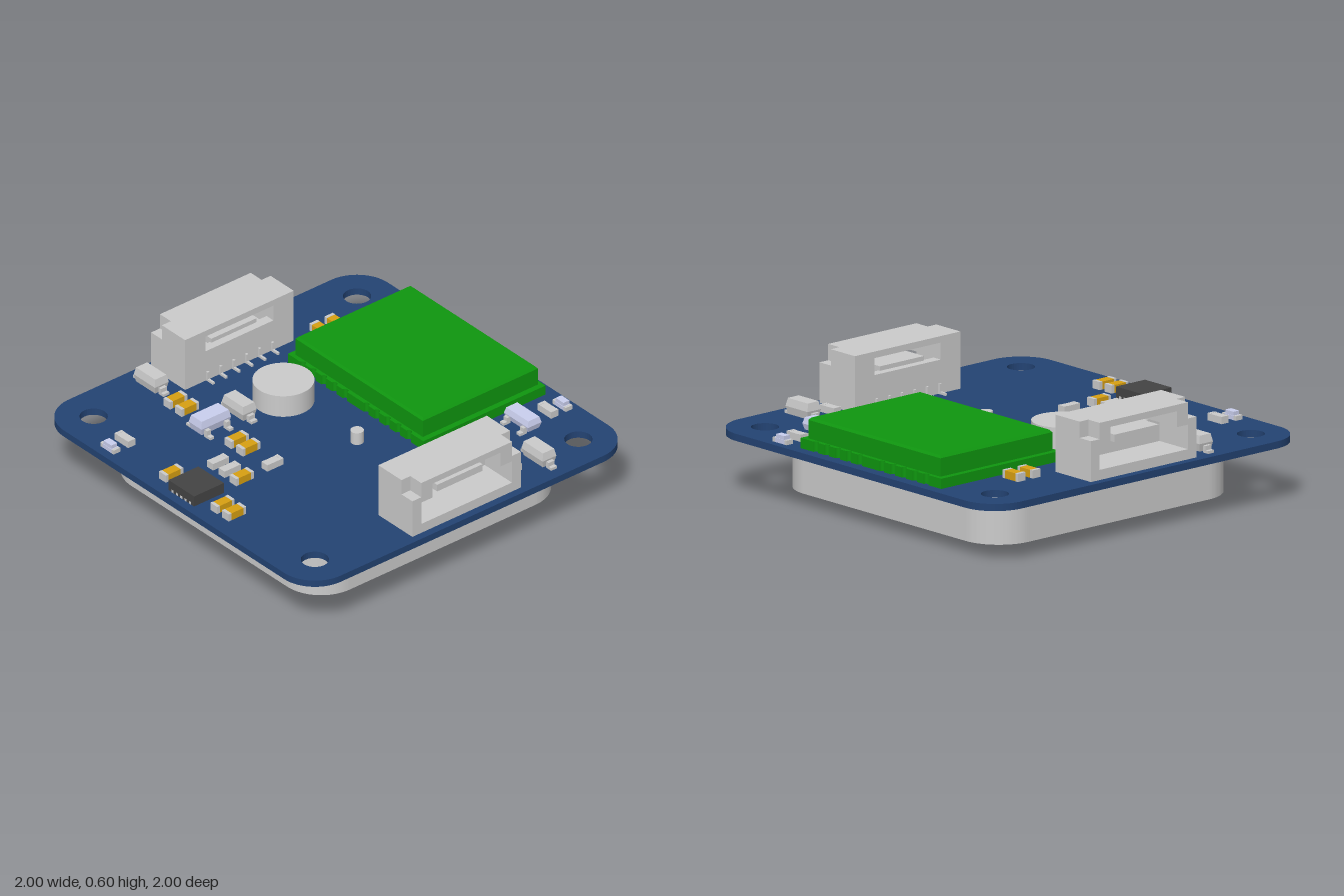
import * as THREE from 'three';

const mat = (color) => new THREE.MeshStandardMaterial({ color });
const grey = mat(0xcccccc), blue = mat(0x234373), green = mat(0x0f960f);
const gold = mat(0xd8a012), dark = mat(0x444444), lilac = mat(0xcacfee);
const TOP = 0.32; // upper face of the board

function add(parent, name, geometry, material, x = 0, y = 0, z = 0) {
  const m = new THREE.Mesh(geometry, material);
  m.name = name;
  m.position.set(x, y, z);
  parent.add(m);
  return m;
}

// Box given by its centre in plan and its bottom and top heights
function block(parent, name, material, x, z, w, d, y0, y1) {
  return add(parent, name, new THREE.BoxGeometry(w, y1 - y0, d), material, x, (y0 + y1) / 2, z);
}

// Moulded body: widest at mid height, drawn in towards top and bottom
function moulded(parent, name, material, w, d, y0, y1, inset) {
  const g = new THREE.BoxGeometry(w, y1 - y0, d, 1, 2, 1).toNonIndexed();
  const p = g.attributes.position;
  for (let i = 0; i < p.count; i++) {
    if (Math.abs(p.getY(i)) < 1e-4) continue;
    p.setX(i, p.getX(i) - Math.sign(p.getX(i)) * inset);
    p.setZ(i, p.getZ(i) - Math.sign(p.getZ(i)) * inset);
  }
  g.computeVertexNormals();
  return add(parent, name, g, material, 0, (y0 + y1) / 2, 0);
}

function roundedSquare(h, r) {
  const s = new THREE.Shape(), c = h - r;
  s.absarc(c, c, r, 0, Math.PI / 2);
  s.absarc(-c, c, r, Math.PI / 2, Math.PI);
  s.absarc(-c, -c, r, Math.PI, Math.PI * 1.5);
  s.absarc(c, -c, r, Math.PI * 1.5, Math.PI * 2);
  s.closePath();
  return s;
}

// Extrude a plan outline (x, -z) upwards
function slab(shape, depth) {
  const g = new THREE.ExtrudeGeometry(shape, { depth, bevelEnabled: false, curveSegments: 16 });
  return g.rotateX(-Math.PI / 2);
}

const polygon = (pts) => new THREE.Shape(pts.map(([x, y]) => new THREE.Vector2(x, y)));

function subgroup(parent, name, x, z, turn = 0) {
  const g = new THREE.Group();
  g.name = name;
  g.position.set(x, 0, z);
  g.rotation.y = turn;
  parent.add(g);
  return g;
}

// Side-entry socket with its mouth facing +x
function connector(parent, name, turn) {
  const g = subgroup(parent, name, 0, 0, turn);
  const full = [[-0.335, 0.32], [0.335, 0.32], [0.335, 0.6], [-0.335, 0.6]];
  const stepped = [[-0.335, 0.32], [0.335, 0.32], [0.335, 0.52], [0.28, 0.52],
    [0.28, 0.6], [-0.28, 0.6], [-0.28, 0.52], [-0.335, 0.52]];
  const window = [[-0.21, 0.485], [0.21, 0.485], [0.21, 0.568], [-0.21, 0.568]];
  const mouth = [[-0.28, 0.37], [0.28, 0.37], [0.28, 0.49], [0.21, 0.49],
    [0.21, 0.568], [-0.21, 0.568], [-0.21, 0.49], [-0.28, 0.49]];
  const layer = (part, outline, hole, x0, x1) => {
    const s = polygon(outline);
    s.holes.push(polygon(hole));
    const geo = new THREE.ExtrudeGeometry(s, { depth: x1 - x0, bevelEnabled: false });
    add(g, part, geo.rotateY(Math.PI / 2), grey, x0);
  };
  layer('rearWall', full, window, 0.71, 0.76);
  layer('housing', full, mouth, 0.76, 0.88);
  layer('mouthFrame', stepped, mouth, 0.88, 0.96);
  block(g, 'tongue', grey, 0.83, 0, 0.16, 0.28, 0.47, 0.507);
  for (let i = 0; i < 6; i++) {
    const z = -0.2 + i * 0.08;
    block(g, 'pinFoot', grey, 0.685, z, 0.05, 0.012, TOP, 0.332);
    block(g, 'pinRise', grey, 0.704, z, 0.012, 0.012, TOP, 0.37);
  }
}

// Two-terminal chip, long axis along x before turning
function chip(parent, name, x, z, turn, body, end, len, wid, h) {
  const g = subgroup(parent, name, x, z, turn);
  const cap = len * 0.16;
  block(g, 'body', body, 0, 0, len - 2 * cap, wid * 0.98, TOP, TOP + h * 0.97);
  for (const s of [-1, 1]) block(g, 'terminal', end, s * (len - cap) / 2, 0, cap, wid, TOP, TOP + h);
}

// Bent lead running outward along +x from a body edge at distance r
function lead(parent, r, z, turn, len, w, rise) {
  const g = subgroup(parent, 'lead', 0, 0, turn);
  block(g, 'foot', grey, r + len / 2, z, len, w, TOP, TOP + 0.014);
  block(g, 'shoulder', grey, r + len * 0.25, z, len * 0.5, w, TOP, TOP + rise);
}

export function createModel() {
  const model = new THREE.Group();
  model.name = 'receiverBoard';

  // Board with four mounting holes
  const outline = roundedSquare(1, 0.19);
  for (const x of [-0.813, 0.813]) for (const y of [-0.813, 0.813]) {
    const hole = new THREE.Path();
    hole.absarc(x, y, 0.067, 0, Math.PI * 2, true);
    outline.holes.push(hole);
  }
  add(model, 'board', slab(outline, 0.035), blue, 0, 0.285, 0);

  // Patch antenna below, with its feed pin through the board
  add(model, 'antenna', slab(roundedSquare(0.783, 0.21), 0.25), grey, 0, 0.035, 0);
  add(model, 'feedPin', new THREE.CylinderGeometry(0.032, 0.032, 0.345, 24), grey, 0.155, 0.2125, 0);
  const dome = new THREE.SphereGeometry(0.055, 24, 8, 0, Math.PI * 2, Math.PI / 2, Math.PI / 2);
  add(model, 'feedSolder', dome.scale(1, 0.036 / 0.055, 1), grey, 0.155, 0.036, 0);

  // Receiver module: base with half-round edge notches, then lid
  const module = subgroup(model, 'receiverModule', -0.0825, -0.5675);
  const base = new THREE.Shape(), hw = 0.4975, hd = 0.3775, r = 0.016;
  base.moveTo(-hw, -hd);
  for (const s of [1, -1]) {
    const row = [-5, -4, -3, -2, -1, 1, 2, 3, 4, 5].map((i) => i * 0.078 * s);
    for (const x of row) {
      base.lineTo(x - s * r, -s * hd);
      base.absarc(x, -s * hd, r, s > 0 ? Math.PI : 0, s > 0 ? 0 : Math.PI, true);
    }
    base.lineTo(s * hw, -s * hd);
    base.lineTo(s * hw, s * hd);
  }
  add(module, 'base', slab(base, 0.05), green, 0, TOP, 0);
  block(module, 'lidWall', green, 0, 0, 0.935, 0.71, 0.37, 0.46);
  const lid = new THREE.BoxGeometry(0.935, 0.012, 0.71).toNonIndexed();
  const p = lid.attributes.position;
  for (let i = 0; i < p.count; i++) if (p.getY(i) > 0) p.setXYZ(i, p.getX(i) * 0.978, p.getY(i), p.getZ(i) * 0.972);
  lid.computeVertexNormals();
  add(module, 'lidTop', lid, green, 0, 0.466, 0);

  // Side sockets
  connector(model, 'leftConnector', 0);
  connector(model, 'rightConnector', Math.PI);

  // Backup cell
  add(model, 'backupCell', new THREE.CylinderGeometry(0.147, 0.147, 0.115, 48), grey, -0.345, 0.3775, 0.035);

  // Capacitors
  const q = Math.PI / 2;
  for (const [x, z, turn] of [[-0.675, -0.567, 0], [-0.675, -0.473, 0], [-0.65, 0.445, q],
    [-0.565, 0.445, q], [-0.2, 0.445, q], [-0.115, 0.445, q], [0.063, 0.635, q],
    [-0.175, 0.87, q], [0.19, 0.86, q], [0.275, 0.86, q]])
    chip(model, 'capacitor', x, z, turn, gold, grey, 0.108, 0.05, 0.04);

  // Resistors
  for (const [x, z, turn] of [[0.063, 0.445, q], [-0.11, 0.635, q], [-0.025, 0.635, q],
    [0.545, -0.85, 0], [0.545, -0.54, 0], [0.545, -0.45, 0], [0.545, -0.355, 0],
    [0.545, -0.27, 0], [0.795, -0.415, 0], [-0.545, 0.845, 0]])
    chip(model, 'resistor', x, z, turn, grey, grey, 0.1, 0.044, 0.036);

  // Indicator lights
  for (const [x, z] of [[0.545, -0.94], [-0.545, 0.935]]) {
    chip(model, 'indicator', x, z, 0, lilac, grey, 0.098, 0.042, 0.022);
    block(model, 'indicatorLens', lilac, x, z, 0.058, 0.036, 0.34, 0.36);
  }

  // Diodes
  for (const [x, z] of [[0.83, -0.555], [-0.84, 0.435], [-0.39, 0.27]]) {
    const g = subgroup(model, 'diode', x, z);
    moulded(g, 'body', grey, 0.157, 0.085, 0.326, 0.404, 0.008);
    for (const t of [0, Math.PI]) lead(g, 0.075, 0, t, 0.037, 0.036, 0.035);
  }

  // Three-lead transistor
  const transistor = subgroup(model, 'transistor', 0.545, -0.695);
  moulded(transistor, 'body', lilac, 0.178, 0.084, 0.33, 0.39, 0.008);
  lead(transistor, 0.036, 0, q, 0.042, 0.026, 0.035);
  for (const z of [-0.06, 0.06]) lead(transistor, 0.036, z, -q, 0.042, 0.026, 0.035);

  // Five-lead regulator
  const regulator = subgroup(model, 'regulator', -0.385, 0.455);
  moulded(regulator, 'body', lilac, 0.095, 0.182, 0.33, 0.405, 0.008);
  for (const z of [-0.06, 0, 0.06]) lead(regulator, 0.042, z, Math.PI, 0.046, 0.024, 0.04);
  for (const z of [-0.06, 0.06]) lead(regulator, 0.042, z, 0, 0.046, 0.024, 0.04);

  // Leadless sensor with edge pads
  const sensor = subgroup(model, 'sensor', 0, 0.8625);
  block(sensor, 'body', dark, 0, 0, 0.188, 0.184, TOP, 0.376);
  for (const s of [-1, 1]) for (let i = 0; i < 5; i++)
    block(sensor, 'pad', grey, -0.064 + i * 0.032, s * 0.091, 0.014, 0.005, TOP, 0.333);

  return model;
}
